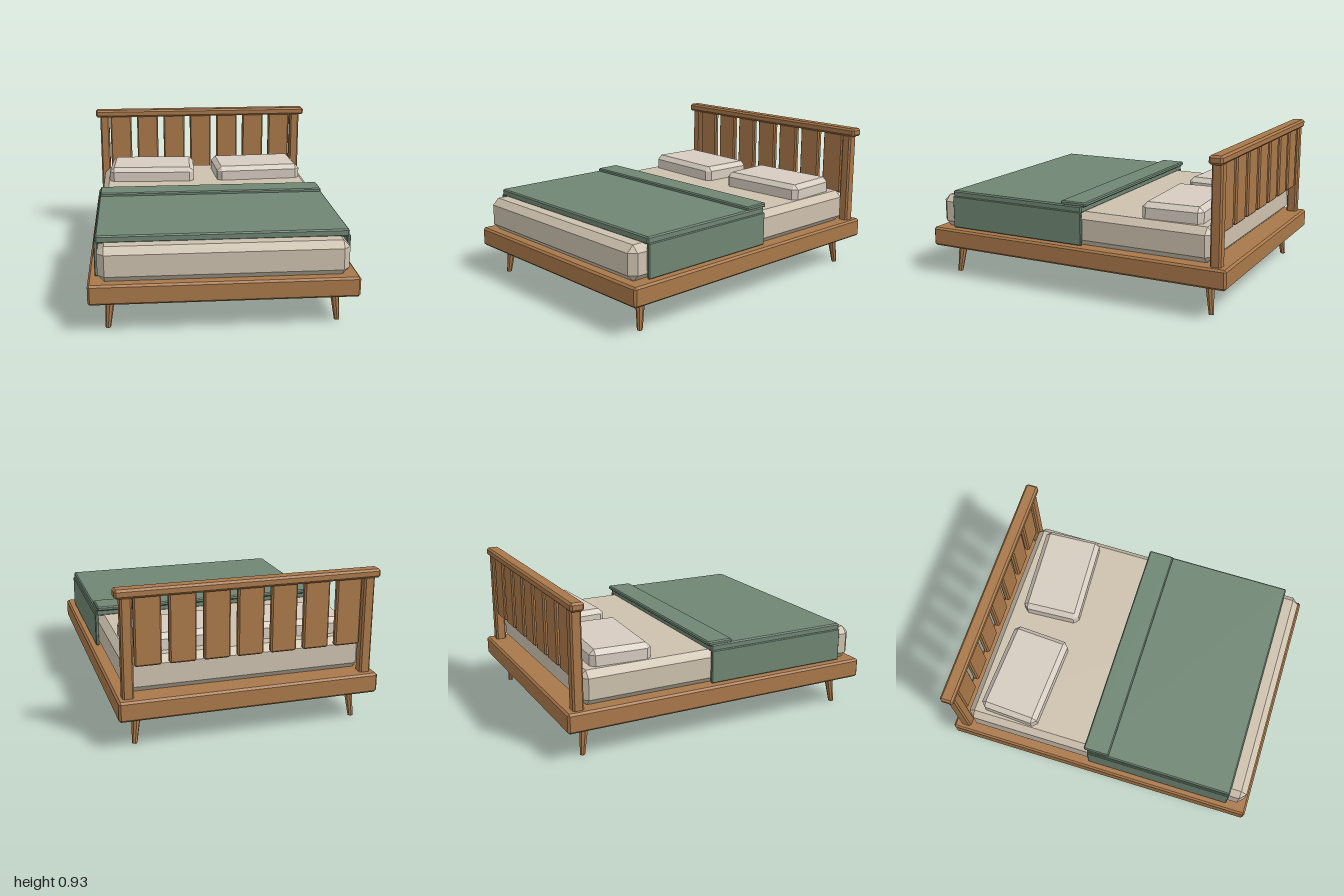
import * as THREE from 'three';
import { ConvexGeometry } from 'three/addons/geometries/ConvexGeometry.js';

const paint = (color) => new THREE.MeshStandardMaterial({ color, flatShading: true });

// Box with every edge cut by a flat chamfer c, given by its [min, max] on each axis
function chamferBox(name, material, [x0, x1], [y0, y1], [z0, z1], c) {
  const half = [(x1 - x0) / 2, (y1 - y0) / 2, (z1 - z0) / 2];
  const points = [];
  for (const sx of [-1, 1]) for (const sy of [-1, 1]) for (const sz of [-1, 1]) {
    for (let axis = 0; axis < 3; axis++) {
      const p = half.map((h, i) => (i === axis ? h : h - c));
      points.push(new THREE.Vector3(sx * p[0], sy * p[1], sz * p[2]));
    }
  }
  const mesh = new THREE.Mesh(new ConvexGeometry(points), material);
  mesh.name = name;
  mesh.position.set((x0 + x1) / 2, (y0 + y1) / 2, (z0 + z1) / 2);
  return mesh;
}

// Tapered leg running from its wide top to its narrow, splayed foot
function makeLeg(name, material, top, foot) {
  const height = top.y - foot.y;
  const geometry = new THREE.CylinderGeometry(0.029, 0.016, height, 8);
  // Shear the leg so both ends stay level
  const pos = geometry.attributes.position;
  for (let i = 0; i < pos.count; i++) {
    const t = pos.getY(i) / height + 0.5;
    pos.setX(i, pos.getX(i) + THREE.MathUtils.lerp(foot.x, top.x, t));
    pos.setZ(i, pos.getZ(i) + THREE.MathUtils.lerp(foot.z, top.z, t));
  }
  geometry.translate(0, foot.y + height / 2, 0);
  geometry.computeVertexNormals();
  const mesh = new THREE.Mesh(geometry, material);
  mesh.name = name;
  return mesh;
}

export function createModel() {
  const bed = new THREE.Group();
  bed.name = 'bed';
  const wood = paint(0xa9784a);
  const sheet = paint(0xcdc1ae);
  const pillowCloth = paint(0xd6ccc0);
  const green = paint(0x6f8673);

  // Frame
  bed.add(chamferBox('frame', wood, [-0.777, 0.777], [0.184, 0.304], [-1, 1], 0.012));

  // Legs, splayed towards the corners
  for (const sx of [-1, 1]) for (const sz of [-1, 1]) {
    const name = (sz > 0 ? 'front' : 'back') + (sx > 0 ? 'Left' : 'Right') + 'Leg';
    bed.add(makeLeg(name, wood,
      new THREE.Vector3(sx * 0.652, 0.19, sz * 0.859),
      new THREE.Vector3(sx * 0.67, 0, sz * 0.88)));
  }

  // Headboard: two posts, top rail and seven slats
  const headboard = new THREE.Group();
  headboard.name = 'headboard';
  for (const s of [-1, 1]) {
    headboard.add(chamferBox(s > 0 ? 'leftPost' : 'rightPost', wood,
      [s * 0.713 - 0.033, s * 0.713 + 0.033], [0.29, 0.89], [-0.956, -0.89], 0.01));
  }
  headboard.add(chamferBox('topRail', wood, [-0.777, 0.777], [0.88, 0.932], [-0.965, -0.882], 0.012));
  for (let i = -3; i <= 3; i++) {
    const x = i * 0.198;
    headboard.add(chamferBox('slat', wood, [x - 0.078, x + 0.078], [0.48, 0.89], [-0.942, -0.904], 0.009));
  }
  bed.add(headboard);

  // Mattress
  bed.add(chamferBox('mattress', sheet, [-0.72, 0.72], [0.302, 0.51], [-0.89, 0.97], 0.04));

  // Pillows, turned slightly towards each other
  for (const s of [-1, 1]) {
    const pillow = chamferBox(s > 0 ? 'leftPillow' : 'rightPillow', pillowCloth,
      [-0.295, 0.295], [0.48, 0.605], [-0.188, 0.188], 0.03);
    pillow.position.x = s * 0.37;
    pillow.position.z = -0.605;
    pillow.rotation.y = s * 0.053;
    bed.add(pillow);
  }

  // Blanket: top, hanging sides and folded edge
  const blanket = new THREE.Group();
  blanket.name = 'blanket';
  blanket.add(chamferBox('blanketTop', green, [-0.73, 0.73], [0.505, 0.55], [-0.07, 0.865], 0.008));
  for (const s of [-1, 1]) {
    blanket.add(chamferBox(s > 0 ? 'blanketLeftSide' : 'blanketRightSide', green,
      [s * 0.727 - 0.011, s * 0.727 + 0.011], [0.31, 0.515], [-0.07, 0.865], 0.005));
  }
  blanket.add(chamferBox('blanketFold', green, [-0.725, 0.725], [0.543, 0.57], [-0.092, 0.072], 0.007));
  bed.add(blanket);

  return bed;
}
